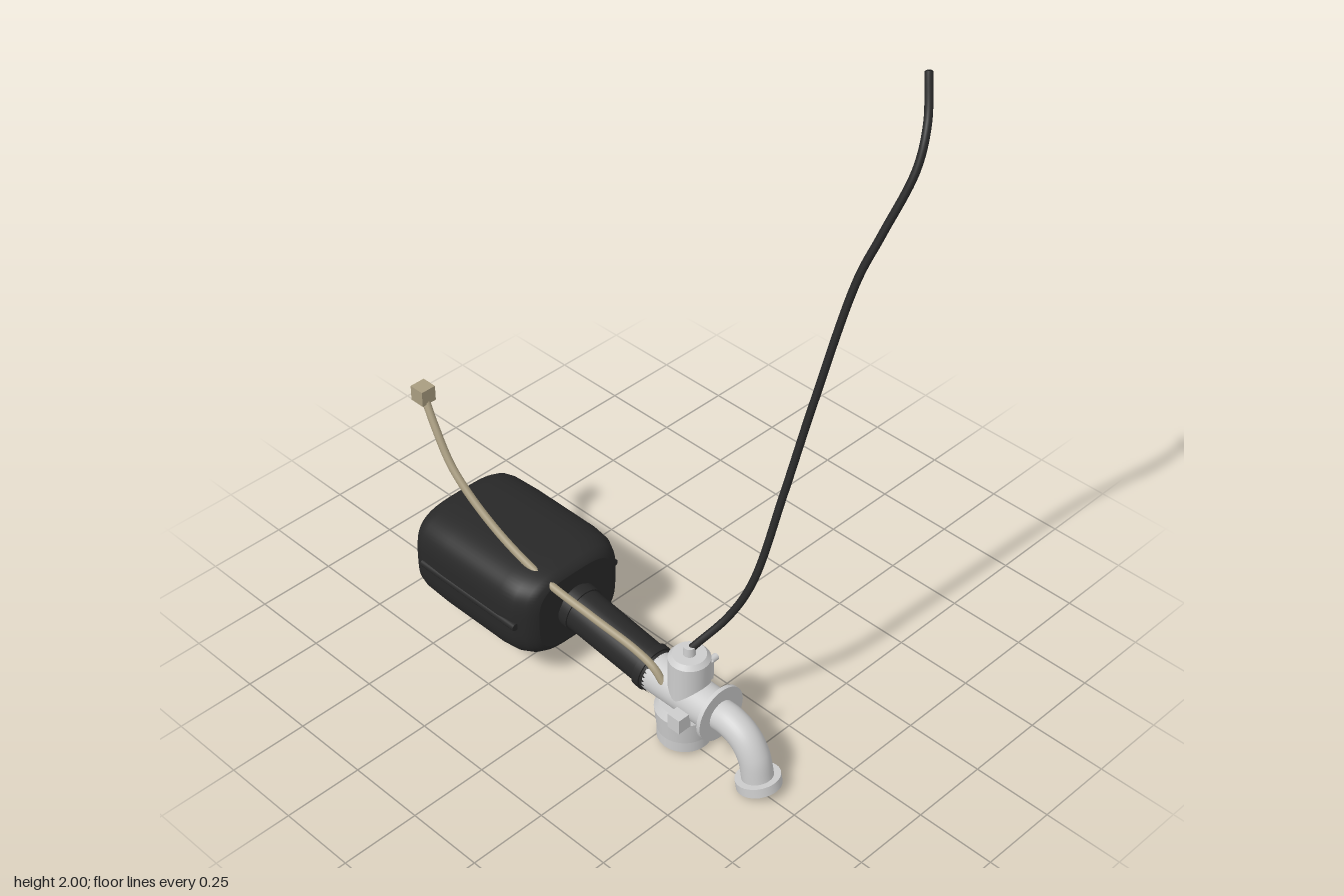
import * as THREE from 'three';

const V = (x, y, z) => new THREE.Vector3(x, y, z);
const Z = 0.243; // depth of the main axis

export function createModel() {
  const model = new THREE.Group();
  const black = new THREE.MeshStandardMaterial({ name: 'black rubber', color: 0x282828 });
  const metal = new THREE.MeshStandardMaterial({ name: 'light grey metal', color: 0xcccccc });
  const tan = new THREE.MeshStandardMaterial({ name: 'tan cable', color: 0xa89c80 });
  const teethMat = black.clone();
  teethMat.name = 'black rubber teeth';
  teethMat.side = THREE.DoubleSide;

  const add = (name, geometry, material) => {
    const mesh = new THREE.Mesh(geometry, material);
    mesh.name = name;
    model.add(mesh);
    return mesh;
  };
  // cylinder from a to b, radius r0 at a and r1 at b
  const rod = (name, a, b, r0, r1, material, geometry) => {
    const d = b.clone().sub(a);
    const m = add(name, geometry || new THREE.CylinderGeometry(r1, r0, d.length(), 40), material);
    m.position.copy(a).addScaledVector(d, 0.5);
    m.quaternion.setFromUnitVectors(V(0, 1, 0), d.normalize());
    return m;
  };
  const block = (name, x, y, z, w, h, d, material) =>
    add(name, new THREE.BoxGeometry(w, h, d), material).position.set(x, y, z);
  const tube = (name, points, r, material, sides = 12, steps = 90) =>
    add(name, new THREE.TubeGeometry(
      new THREE.CatmullRomCurve3(points.map(p => V(...p))), steps, r, sides), material);

  // pillow-shaped canister, lofted along x: [x, half height, half depth]
  add('canister', loft([
    [-0.64, 0.128, 0.165], [-0.635, 0.139, 0.182], [-0.62, 0.147, 0.196], [-0.59, 0.152, 0.204],
    [-0.5, 0.155, 0.208], [-0.25, 0.155, 0.208], [-0.195, 0.15, 0.202], [-0.16, 0.142, 0.184],
    [-0.142, 0.132, 0.165], [-0.135, 0.118, 0.148],
  ], 0.235, Z), black);
  for (const s of [-1, 1])
    rod('canisterRib', V(-0.59, 0.235, Z + s * 0.201), V(-0.18, 0.235, Z + s * 0.201), 0.012, 0.012, black);

  // sleeve between canister and valve, with a collar at each end
  const a = V(-0.15, 0.23, Z), b = V(0.2, 0.184, Z);
  const along = t => a.clone().lerp(b, t);
  rod('sleeve', a, b, 0.068, 0.065, black);
  rod('sleeveCollar', along(0.04), along(0.13), 0.073, 0.073, black);
  rod('sleeveCollar', along(0.91), along(0.98), 0.072, 0.072, black);

  // toothed edge of the sleeve
  const teeth = new THREE.CylinderGeometry(0.066, 0.066, 0.02, 56, 1, true);
  const p = teeth.attributes.position;
  for (let i = 0; i < 57; i++) p.setY(i, i % 2 ? 0.014 : -0.004);
  rod('sleeveTeeth', V(0.19, 0.183, Z), V(0.21, 0.183, Z), 0, 0, teethMat, teeth);

  // valve body
  rod('valveBarrel', V(0.19, 0.183, Z), V(0.45, 0.183, Z), 0.063, 0.063, metal);
  rod('valveFlange', V(0.444, 0.187, Z), V(0.457, 0.187, Z), 0.088, 0.088, metal);
  rod('lowerCup', V(0.3125, 0.015, Z), V(0.3125, 0.05, Z), 0.081, 0.081, metal);
  rod('lowerCupBand', V(0.3125, 0.05, Z), V(0.3125, 0.125, Z), 0.081, 0.089, metal);
  rod('lowerCupShoulder', V(0.3125, 0.125, Z), V(0.3125, 0.15, Z), 0.089, 0.075, metal);
  rod('upperCap', V(0.33, 0.19, Z), V(0.33, 0.322, Z), 0.062, 0.062, metal);
  rod('upperCapBevel', V(0.33, 0.322, Z), V(0.33, 0.336, Z), 0.062, 0.05, metal);
  rod('upperNozzle', V(0.33, 0.33, Z), V(0.33, 0.364, Z), 0.019, 0.017, metal);

  // side fittings
  block('frontPort', 0.367, 0.156, 0.322, 0.046, 0.05, 0.046, metal);
  block('rearPort', 0.29, 0.198, 0.163, 0.068, 0.066, 0.054, metal);
  rod('rearStem', V(0.29, 0.198, 0.14), V(0.29, 0.198, 0.09), 0.011, 0.011, metal);

  // downturned spout and its end flange
  tube('spout', [[0.445, 0.185, Z], [0.495, 0.184, Z], [0.548, 0.161, Z],
    [0.585, 0.112, Z], [0.603, 0.04, Z]], 0.047, metal, 32, 32);
  rod('spoutFlange', V(0.602, 0.047, Z), V(0.609, 0.018, Z), 0.067, 0.067, metal);

  // tall black hose
  const hose = [[0.33, 0.35, 0.243], [0.345, 0.375, 0.222], [0.395, 0.46, 0.155], [0.437, 0.58, 0.105],
    [0.463, 0.865, 0.016], [0.484, 1.13, -0.062], [0.521, 1.5, -0.175], [0.553, 1.63, -0.224],
    [0.591, 1.81, -0.3], [0.572, 1.91, -0.355], [0.492, 1.99, -0.448]];
  tube('tallHose', hose, 0.0115, black);
  const end = V(...hose.at(-1));
  rod('tallHoseEnd', end, end.clone().add(V(-0.0015, 0.001, -0.0015)), 0.0115, 0.0115, black);

  // tan cable with a square plug
  tube('cable', [[0.275, 0.205, 0.287], [0.235, 0.25, 0.291], [0.167, 0.28, 0.298], [0.008, 0.315, 0.315],
    [-0.177, 0.362, 0.336], [-0.362, 0.458, 0.355], [-0.516, 0.585, 0.364], [-0.6, 0.7, 0.357],
    [-0.655, 0.785, 0.347]], 0.012, tan);
  block('cablePlug', -0.655, 0.785, 0.347, 0.05, 0.05, 0.05, tan);

  return model;
}

// Loft of rounded-rectangle sections along x, closed at both ends
function loft(sections, cy, cz, n = 64) {
  const pos = [], index = [];
  const ring = ([x, h, d]) => {
    for (let i = 0; i < n; i++) {
      const t = (i / n) * Math.PI * 2, c = Math.cos(t), s = Math.sin(t), e = 2 / 3.4;
      pos.push(x, cy + h * Math.sign(c) * Math.abs(c) ** e, cz + d * Math.sign(s) * Math.abs(s) ** e);
    }
  };
  sections.forEach(ring);
  for (let k = 0; k < sections.length - 1; k++)
    for (let i = 0; i < n; i++) {
      const j = (i + 1) % n, q = k * n, r = q + n;
      index.push(q + i, q + j, r + i, q + j, r + j, r + i);
    }
  for (const first of [true, false]) {
    const sec = sections.at(first ? 0 : -1), base = pos.length / 3;
    ring(sec);
    pos.push(sec[0], cy, cz);
    for (let i = 0; i < n; i++) {
      const j = (i + 1) % n;
      index.push(base + n, base + (first ? j : i), base + (first ? i : j));
    }
  }
  const g = new THREE.BufferGeometry();
  g.setAttribute('position', new THREE.Float32BufferAttribute(pos, 3));
  g.setIndex(index);
  g.computeVertexNormals();
  return g;
}
